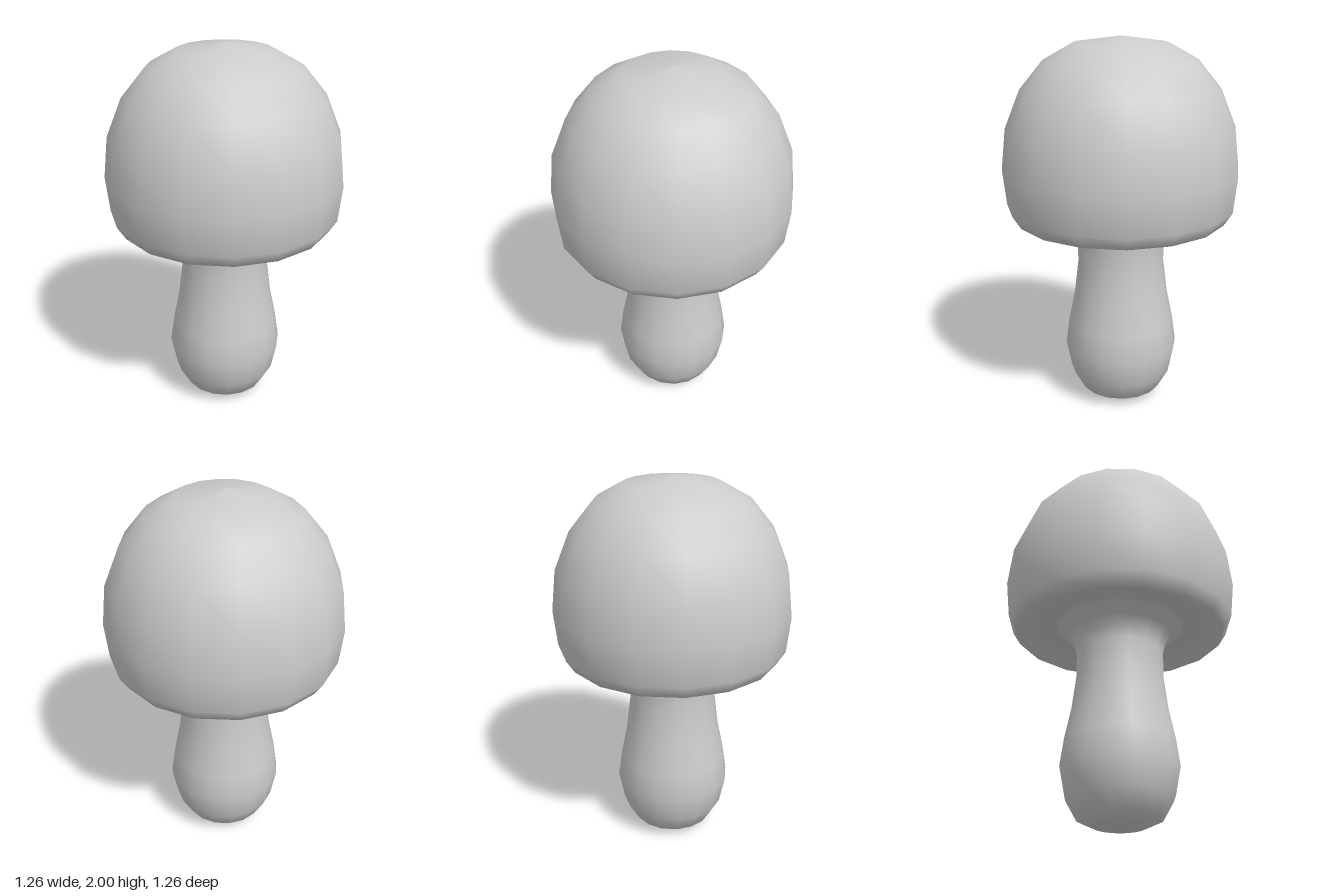
import * as THREE from 'three';

const SIDES = 16;

// Smooth turned part from [radius, height] points, listed bottom to top along the outside
function turned(name, points, material) {
  const profile = points.map(([r, y]) => new THREE.Vector2(r, y));
  const mesh = new THREE.Mesh(new THREE.LatheGeometry(profile, SIDES), material);
  mesh.name = name;
  return mesh;
}

export function createModel() {
  const grey = new THREE.MeshStandardMaterial({ color: 0xcccccc });
  grey.name = 'light grey';

  const mushroom = new THREE.Group();
  mushroom.name = 'mushroom';

  // Stem: bulbous foot, narrow neck, flaring out into the gills
  mushroom.add(turned('stem', [
    [0, 0], [0.13, 0.01], [0.22, 0.05], [0.28, 0.155], [0.31, 0.305],
    [0.29, 0.45], [0.257, 0.61], [0.235, 0.79], [0.235, 0.94],
    [0.25, 1.0], [0.28, 1.05], [0.35, 1.1],
  ], grey));

  // Cap: hollowed underside, rounded lip and dome
  mushroom.add(turned('cap', [
    [0.35, 1.1], [0.45, 1.11], [0.525, 1.08], [0.565, 1.05],
    [0.61, 1.12], [0.63, 1.31], [0.605, 1.53], [0.523, 1.73],
    [0.4, 1.88], [0.245, 1.966], [0, 2],
  ], grey));

  return mushroom;
}
